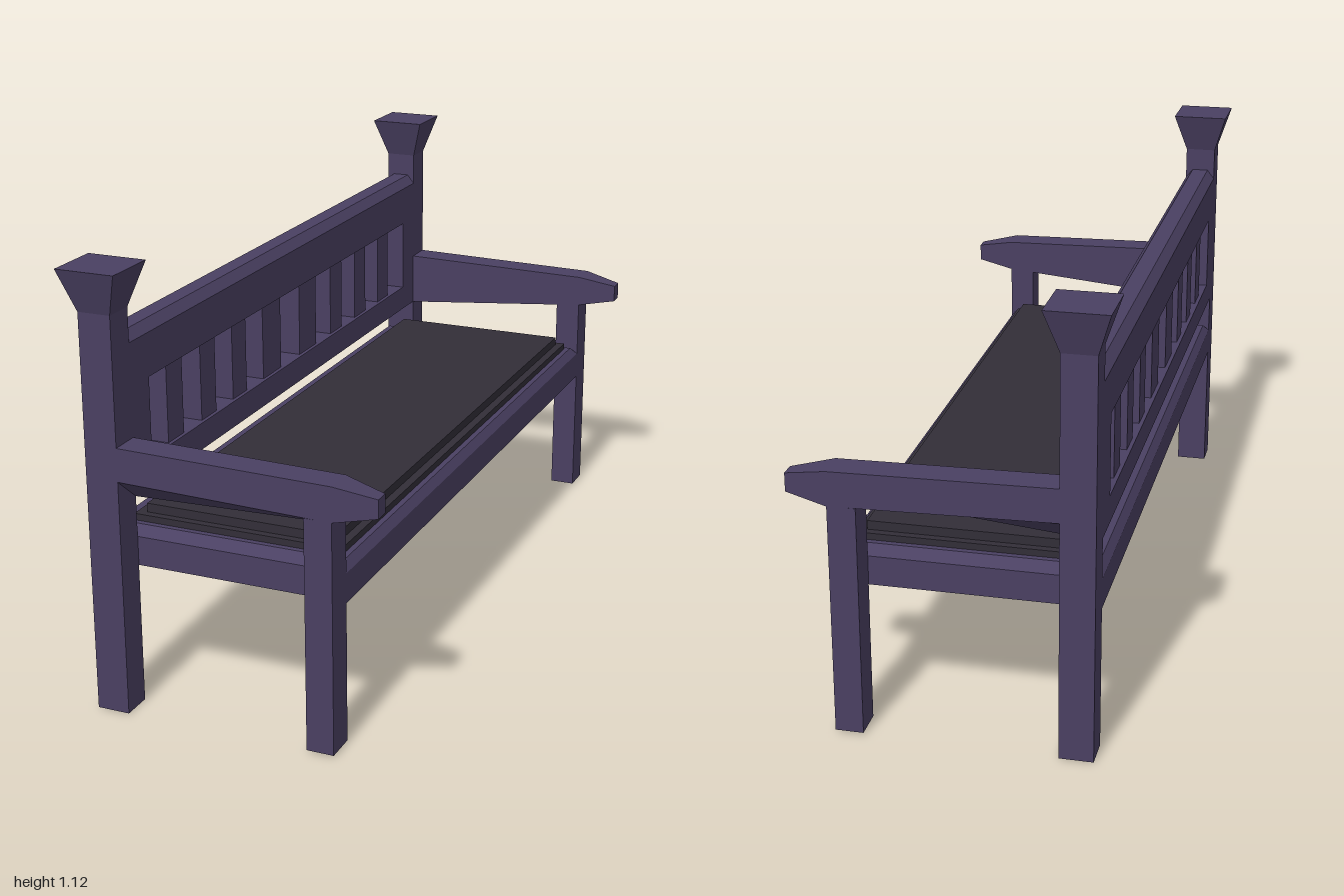
import * as THREE from 'three';

const frameMat = new THREE.MeshStandardMaterial({ color: 0x4a4062, flatShading: true });
const cushionMat = new THREE.MeshStandardMaterial({ color: 0x322e38, flatShading: true });

// Box between two corners; dx and dz grow (or shrink) the top on each side.
function block(name, [x0, x1], [y0, y1], [z0, z1], mat = frameMat, dx = 0, dz = 0) {
  const g = new THREE.BoxGeometry(x1 - x0, y1 - y0, z1 - z0);
  const p = g.attributes.position;
  for (let i = 0; i < p.count; i++) {
    if (p.getY(i) > 0) {
      p.setX(i, p.getX(i) + Math.sign(p.getX(i)) * dx);
      p.setZ(i, p.getZ(i) + Math.sign(p.getZ(i)) * dz);
    }
  }
  g.translate((x0 + x1) / 2, (y0 + y1) / 2, (z0 + z1) / 2);
  g.computeVertexNormals();
  const m = new THREE.Mesh(g, mat);
  m.name = name;
  return m;
}

// Arm: three cross-sections along x, given as [x, top, outer bottom, inner bottom, half width].
function armrest(side) {
  const sections = [
    [-0.27, 0.695, 0.61, 0.545, 0.04],
    [0.28, 0.685, 0.597, 0.597, 0.04],
    [0.386, 0.663, 0.616, 0.616, 0.02],
  ];
  const g = new THREE.BoxGeometry(2, 1, 1, 2, 1, 1);
  const p = g.attributes.position;
  for (let i = 0; i < p.count; i++) {
    const [x, top, outer, inner, half] = sections[Math.round(p.getX(i)) + 1];
    const z = Math.sign(p.getZ(i));
    const bottom = z === side ? outer : inner;
    p.setXYZ(i, x, p.getY(i) > 0 ? top : bottom, side * 0.925 + z * half);
  }
  g.computeVertexNormals();
  const m = new THREE.Mesh(g, frameMat);
  m.name = 'armrest';
  return m;
}

export function createModel() {
  const bench = new THREE.Group();
  bench.name = 'bench';

  // Posts, flared caps, front legs and arms at both ends
  for (const s of [1, -1]) {
    const z = s > 0 ? [0.885, 0.965] : [-0.965, -0.885];
    const end = new THREE.Group();
    end.name = s > 0 ? 'leftEnd' : 'rightEnd';
    end.add(
      block('backPost', [-0.355, -0.27], [0, 1.018], z),
      block('postCap', [-0.355, -0.27], [1.018, 1.125], z, frameMat, 0.034, 0.035),
      block('frontLeg', [0.21, 0.28], [0.005, 0.598], z),
      armrest(s),
    );
    bench.add(end);
  }

  // Seat base with bevelled top edge
  const seat = new THREE.Group();
  seat.name = 'seat';
  seat.add(
    block('seatBase', [-0.355, 0.28], [0.365, 0.44], [-0.885, 0.885]),
    block('seatBevel', [-0.355, 0.28], [0.44, 0.463], [-0.885, 0.885], frameMat, -0.015, -0.025),
    block('lowerCushion', [-0.3, 0.25], [0.463, 0.48], [-0.845, 0.845], cushionMat),
    block('upperCushion', [-0.275, 0.228], [0.48, 0.503], [-0.825, 0.825], cushionMat),
  );
  bench.add(seat);

  // Backrest frame with a window
  const back = new THREE.Group();
  back.name = 'backrest';
  const outline = new THREE.Shape([[-0.885, 0.545], [0.885, 0.545], [0.885, 0.93], [-0.885, 0.93]]
    .map(([a, b]) => new THREE.Vector2(a, b)));
  outline.holes.push(new THREE.Path([[-0.8, 0.615], [-0.8, 0.82], [0.8, 0.82], [0.8, 0.615]]
    .map(([a, b]) => new THREE.Vector2(a, b))));
  const panel = new THREE.ExtrudeGeometry(outline, { depth: 0.085, bevelEnabled: false });
  panel.rotateY(-Math.PI / 2).translate(-0.27, 0, 0);
  const panelMesh = new THREE.Mesh(panel, frameMat);
  panelMesh.name = 'backFrame';
  back.add(
    panelMesh,
    block('topRail', [-0.355, -0.27], [0.93, 0.955], [-0.885, 0.885], frameMat, -0.02, 0),
  );

  // Slats, the middle pair wider
  for (const [c, w] of [[0.115, 0.11], [0.31, 0.08], [0.485, 0.08], [0.66, 0.08]]) {
    for (const s of [1, -1]) {
      back.add(block('slat', [-0.345, -0.28], [0.612, 0.823], [s * c - w / 2, s * c + w / 2]));
    }
  }
  bench.add(back);
  return bench;
}
